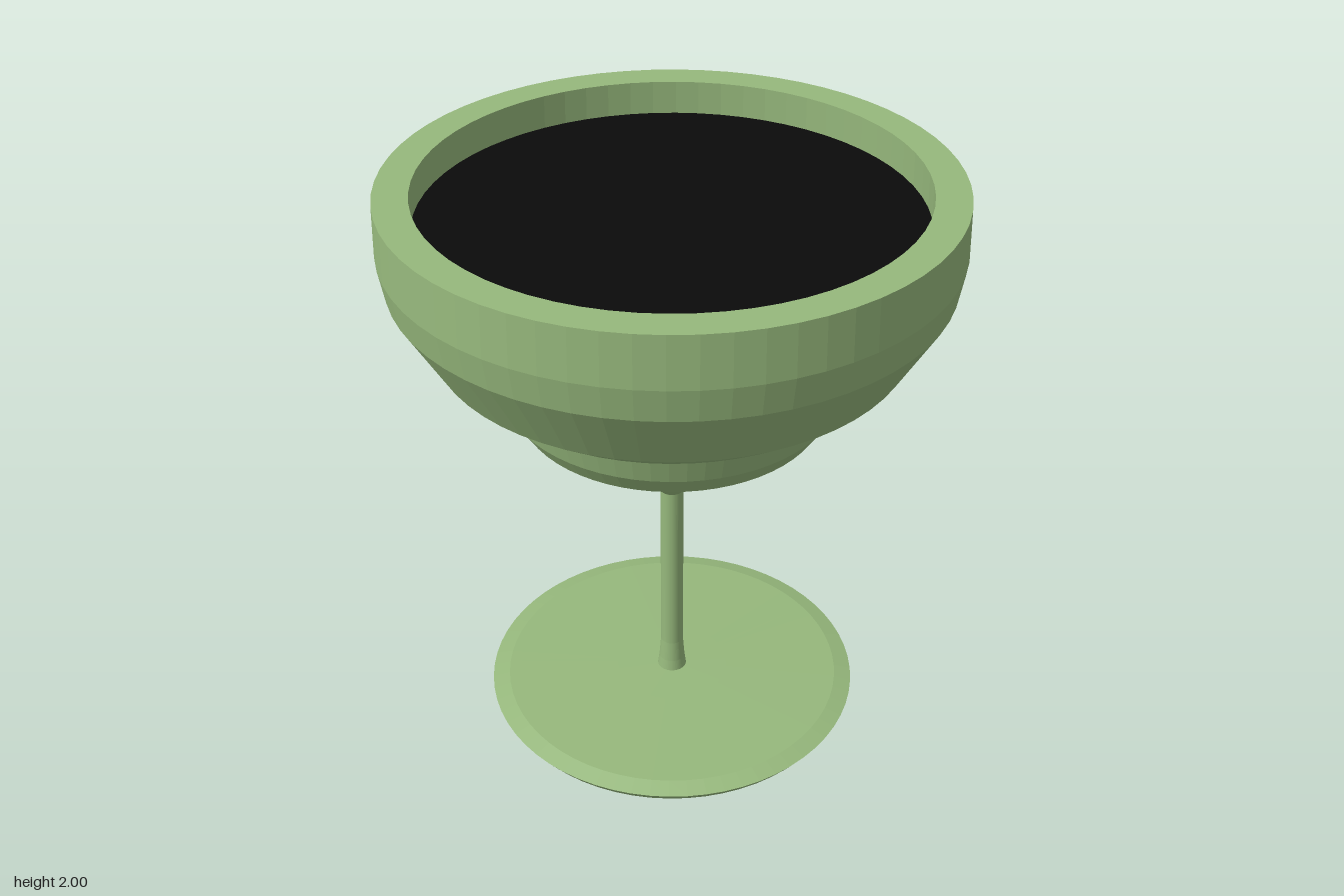
import * as THREE from 'three';

const SEGMENTS = 64;

export function createModel() {
  const model = new THREE.Group();
  const glass = new THREE.MeshStandardMaterial({ color: 0x96b87c, flatShading: true });
  const drink = new THREE.MeshStandardMaterial({ color: 0x0a0a0a });

  // Revolves a [radius, height] profile listed from the bottom, outside first
  const turned = (name, profile) => {
    const points = profile.map(([r, y]) => new THREE.Vector2(r, y));
    const mesh = new THREE.Mesh(new THREE.LatheGeometry(points, SEGMENTS), glass);
    mesh.name = name;
    model.add(mesh);
  };

  // Flat foot with a bevelled edge
  turned('foot', [[0, 0], [0.635, 0], [0.66, 0.035], [0.6, 0.05], [0.2, 0.057], [0, 0.06]]);

  // Thin stem, flared where it meets the foot
  turned('stem', [[0.052, 0.055], [0.046, 0.1], [0.04, 0.18], [0.04, 0.85]]);

  // Cone that carries the bowl
  turned('neckCone', [[0, 0.845], [0.04, 0.85], [0.28, 1.15]]);

  // Small lower tier of the bowl
  turned('lowerBowl', [
    [0.27, 1.15], [0.42, 1.15], [0.505, 1.2], [0.55, 1.27], [0.58, 1.38], [0.58, 1.425],
  ]);

  // Wide upper tier, over the flat rim and down the inner wall
  turned('upperBowl', [
    [0.57, 1.42], [0.69, 1.435], [0.775, 1.5], [0.9, 1.72], [0.918, 1.83], [0.912, 2],
    [0.8, 2], [0.805, 1.83], [0.785, 1.74], [0.68, 1.56], [0.5, 1.5], [0, 1.5],
  ]);

  // Drink surface just below the rim
  const liquid = new THREE.Mesh(new THREE.CircleGeometry(0.804, SEGMENTS), drink);
  liquid.name = 'drink';
  liquid.rotation.x = -Math.PI / 2;
  liquid.position.y = 1.885;
  model.add(liquid);

  return model;
}
